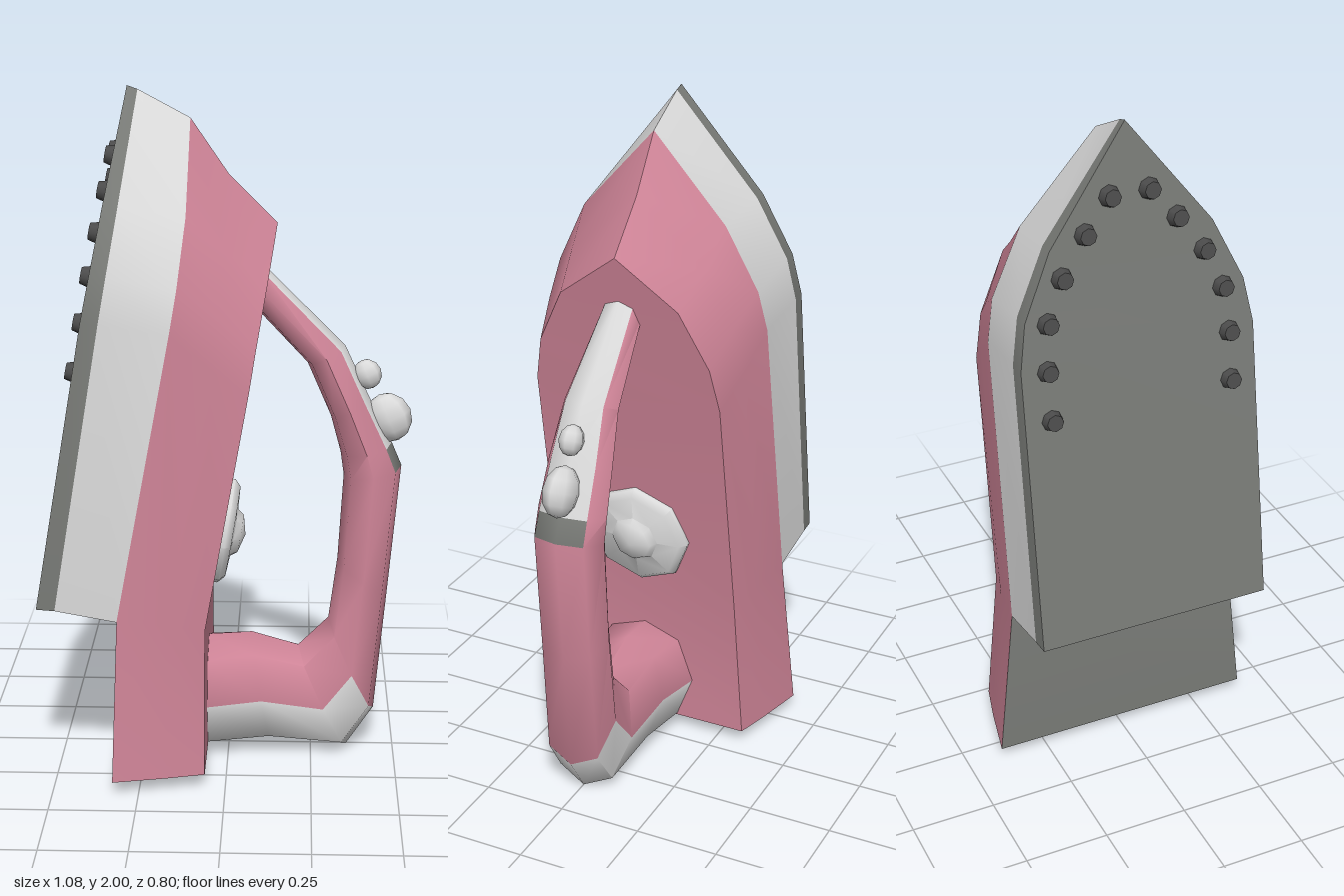
import * as THREE from 'three';
import { toCreasedNormals } from 'three/addons/utils/BufferGeometryUtils.js';

const mat = (name, color) => Object.assign(new THREE.MeshStandardMaterial({ color }), { name });
const TILT = 0.171; // lean of the sole and the front face

// Skin closed rings; colour(k, j) picks a material index per face (k = 'start' / 'end' for caps)
function loft(name, rings, materials, colour, crease) {
  const buckets = materials.map(() => []);
  const tri = (list, a, b, c) => {
    const area = b.clone().sub(a).cross(c.clone().sub(a)).length();
    if (area > 1e-6) for (const p of [a, b, c]) list.push(p.x, p.y, p.z);
  };
  const quad = (list, a, b, c, d) => { tri(list, a, b, c); tri(list, a, c, d); };
  const n = rings[0].length;
  for (let k = 0; k < rings.length - 1; k++) {
    for (let j = 0; j < n; j++) {
      const i = (j + 1) % n;
      quad(buckets[colour(k, j)], rings[k][j], rings[k][i], rings[k + 1][i], rings[k + 1][j]);
    }
  }
  const first = rings[0], last = rings[rings.length - 1];
  for (let i = 0; i < n / 2 - 1; i++) {
    quad(buckets[colour('start', i)], first[n - 1 - i], first[n - 2 - i], first[i + 1], first[i]);
    quad(buckets[colour('end', i)], last[i], last[i + 1], last[n - 2 - i], last[n - 1 - i]);
  }
  let geo = new THREE.BufferGeometry();
  geo.setAttribute('position', new THREE.Float32BufferAttribute(buckets.flat(), 3));
  geo = toCreasedNormals(geo, crease);
  geo.clearGroups();
  let start = 0;
  buckets.forEach((b, m) => {
    if (b.length) geo.addGroup(start, b.length / 3, m);
    start += b.length / 3;
  });
  const mesh = new THREE.Mesh(geo, materials);
  mesh.name = name;
  return mesh;
}

// Mirror a half outline [x, y, halfWidth] (heel to tip) into a closed ring
function outline(half) {
  const right = half.map(([x, y, z]) => new THREE.Vector3(x, y, -z));
  const left = half.slice(0, -1).reverse().map(([x, y, z]) => new THREE.Vector3(x, y, z));
  return [...right, ...left];
}

export function createModel() {
  const pink = mat('pink plastic', 0xcd8396);
  const light = mat('light grey plastic', 0xdadada);
  const dark = mat('dark grey metal', 0x787a76);
  const black = mat('charcoal', 0x4c4c4c);
  const group = new THREE.Group();
  group.name = 'iron';

  // Soleplate and light shell
  const soleBack = [[-0.54, 0.55, 0.35], [-0.4, 1.38, 0.348], [-0.375, 1.51, 0.325], [-0.343, 1.69, 0.24], [-0.29, 2, 0]];
  const soleFront = [[-0.487, 0.547, 0.352], [-0.35, 1.38, 0.35], [-0.328, 1.51, 0.327], [-0.3, 1.69, 0.24], [-0.26, 1.99, 0]];
  const shellFront = [[-0.31, 0.515, 0.352], [-0.155, 1.35, 0.343], [-0.135, 1.47, 0.32], [-0.113, 1.66, 0.225], [-0.11, 1.91, 0]];
  group.add(loft('soleplate', [soleBack, soleFront].map(outline), [dark], () => 0, 0.6));
  const heelEdge = 2 * soleBack.length - 2;
  group.add(loft('shell', [soleFront, shellFront].map(outline), [light, dark],
    (k, j) => (k === 0 && j !== heelEdge ? 0 : 1), 0.6));

  // Pink body, flaring towards the heel
  const bodyBack = [[-0.325, 0.04, 0.4], ...shellFront];
  const bodyMid = [[-0.17, 0.04, 0.365], [-0.17, 0.5, 0.33], [-0.04, 1.25, 0.32], [-0.02, 1.39, 0.295], [-0.005, 1.56, 0.21], [0, 1.75, 0]];
  const bodyFront = [[-0.06, 0.04, 0.335], [-0.06, 0.47, 0.3], [0.064, 1.17, 0.295], [0.085, 1.3, 0.27], [0.115, 1.47, 0.185], [0.14, 1.61, 0]];
  group.add(loft('body', [bodyBack, bodyMid, bodyFront].map(outline), [pink, dark],
    k => (k === 'start' ? 1 : 0), 0.6));

  // Handle and foot: stations of outer point, inner point and half width
  const stations = [
    [0.1, 1.49, 0.07, 1.37, 0.06], [0.34, 1.25, 0.23, 1.2, 0.085], [0.41, 1.1, 0.3, 1.04, 0.1],
    [0.48, 0.96, 0.33, 0.93, 0.108], [0.51, 0.89, 0.34, 0.86, 0.11], [0.475, 0.5, 0.325, 0.6, 0.11],
    [0.44, 0.12, 0.3, 0.41, 0.115], [0.36, 0, 0.21, 0.32, 0.125], [0.13, 0.02, 0.07, 0.36, 0.14],
    [-0.07, 0.005, -0.07, 0.35, 0.165]];
  const section = [[1, 0], [0.88, 0.7], [0.5, 1], [0.12, 0.7], [0, 0], [0.12, -0.7], [0.5, -1], [0.88, -0.7]];
  const handleRings = stations.map(([ox, oy, ix, iy, w]) => section.map(([u, v]) =>
    new THREE.Vector3(ix + (ox - ix) * u, iy + (oy - iy) * u, w * v)));
  group.add(loft('handle', handleRings, [pink, light, dark], (k, j) => {
    if (k === 'start' || k === 'end') return 1;
    const top = j === 0 || j === 7, outerHalf = j < 2 || j > 5;
    if (k < 3 && top) return 1;
    if (k === 3 && top) return 2;
    return k >= 6 && outerHalf ? 1 : 0;
  }, 1));

  // Buttons on the handle
  const button = (name, x, y, sx, sy, sz) => {
    const mesh = new THREE.Mesh(new THREE.SphereGeometry(1, 8, 6), light);
    mesh.name = name;
    mesh.position.set(x, y, 0);
    mesh.scale.set(sx, sy, sz);
    mesh.rotation.z = 0.4;
    group.add(mesh);
  };
  button('steamButton', 0.47, 1.035, 0.068, 0.075, 0.05);
  button('sprayButton', 0.405, 1.165, 0.042, 0.045, 0.036);

  // Temperature dial on the front face
  const dialProfile = [[0.165, -0.02], [0.165, 0.012], [0.145, 0.03], [0.075, 0.035], [0.06, 0.055], [0, 0.07]]
    .map(([r, y]) => new THREE.Vector2(r, y));
  const dial = new THREE.Mesh(toCreasedNormals(new THREE.LatheGeometry(dialProfile, 8), 0.9), light);
  dial.name = 'temperatureDial';
  dial.position.set(-0.02, 0.68, 0);
  dial.rotation.z = -Math.PI / 2 - TILT;
  group.add(dial);

  // Steam studs around the tip of the sole
  const studs = [[1.23, 0.27], [1.37, 0.272], [1.5, 0.26], [1.615, 0.21], [1.72, 0.135], [1.81, 0.058]];
  const studGeo = new THREE.CylinderGeometry(0.032, 0.024, 0.03, 8);
  for (const [y, z] of studs) {
    for (const side of [-1, 1]) {
      const stud = new THREE.Mesh(studGeo, black);
      stud.name = 'steamStud';
      stud.position.set(-0.54 + 0.1724 * (y - 0.55) - 0.012, y, side * z);
      stud.rotation.z = -Math.PI / 2 - TILT;
      group.add(stud);
    }
  }
  return group;
}
